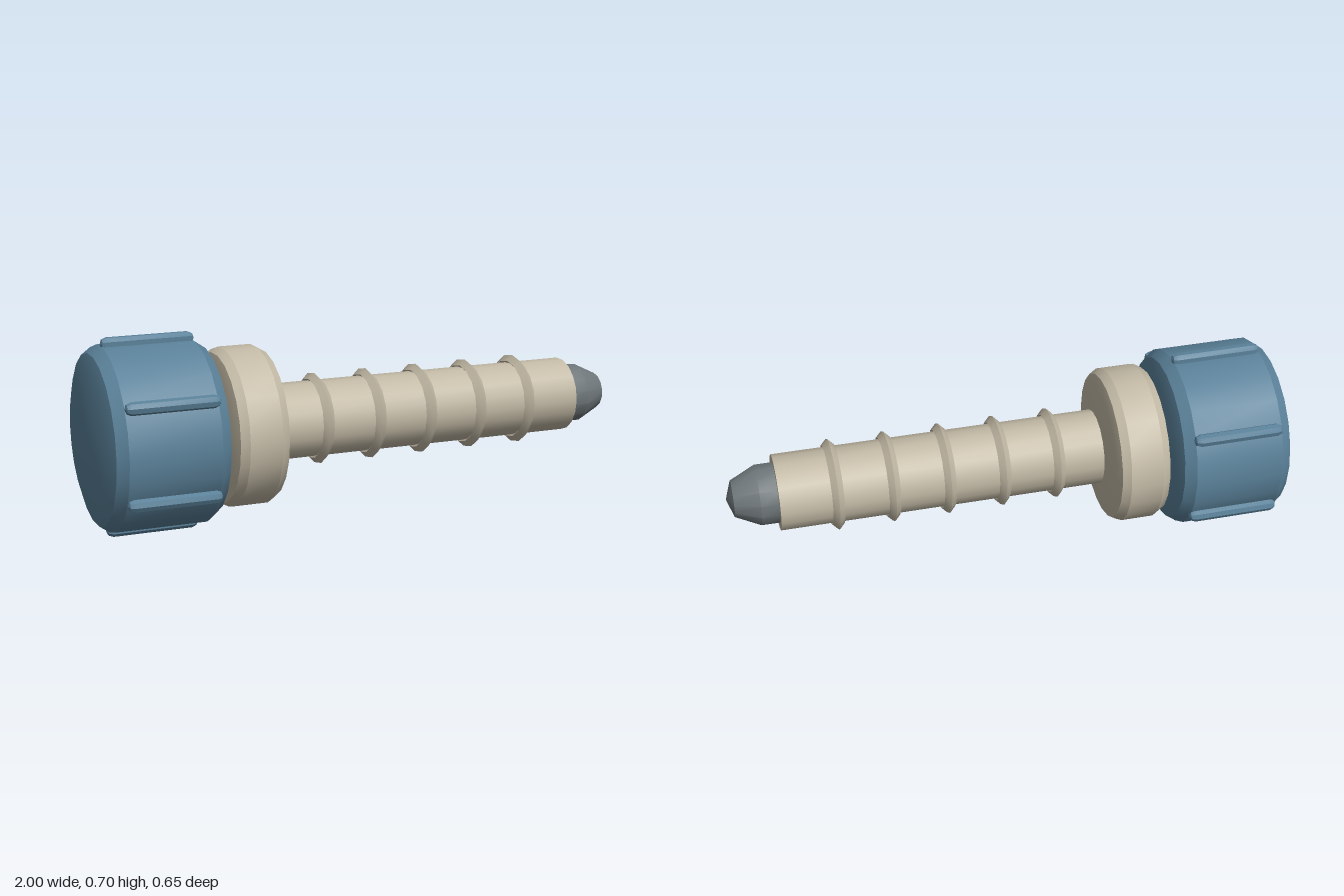
import * as THREE from 'three';
import { toCreasedNormals } from 'three/addons/utils/BufferGeometryUtils.js';

const AXIS_Y = 0.35;
const CREASE = 0.5;

export function createModel() {
  const group = new THREE.Group();
  const material = (name, color) => {
    const m = new THREE.MeshStandardMaterial({ color });
    m.name = name;
    return m;
  };
  const blue = material('blue', 0x5a8199);
  const beige = material('beige', 0xc2b9a5);
  const grey = material('grey', 0x6e7679);

  // Everything is placed relative to a horizontal axis along x
  const add = (name, geometry, mat) => {
    const mesh = new THREE.Mesh(toCreasedNormals(geometry, CREASE), mat);
    mesh.name = name;
    mesh.position.y = AXIS_Y;
    group.add(mesh);
  };

  // Turned part: profile of [x, radius] pairs, closed on the axis at both ends
  const turned = (name, profile, sides, mat, start = 0) => {
    const pts = profile.map(([x, r]) => new THREE.Vector2(r, x));
    add(name, new THREE.LatheGeometry(pts, sides, start).rotateZ(-Math.PI / 2), mat);
  };

  // Cap with softened rims
  turned('cap', [
    [-1, 0], [-1, 0.24], [-0.982, 0.297], [-0.945, 0.323],
    [-0.625, 0.323], [-0.588, 0.297], [-0.57, 0.24], [-0.57, 0],
  ], 22, blue);

  // Six grip ribs around the cap
  for (let i = 0; i < 6; i++) {
    const rib = new THREE.CapsuleGeometry(0.023, 0.284, 2, 8)
      .rotateY(Math.PI / 8)
      .rotateZ(-Math.PI / 2)
      .translate(-0.782, 0.327, 0)
      .rotateX((i * Math.PI) / 3);
    add('gripRib' + (i + 1), rib, blue);
  }

  // Collar next to the cap
  turned('collar', [
    [-0.555, 0], [-0.555, 0.22], [-0.544, 0.265], [-0.515, 0.282],
    [-0.397, 0.282], [-0.368, 0.265], [-0.357, 0.22], [-0.357, 0],
  ], 22, beige);

  // Shaft
  turned('shaft', [[-0.34, 0], [-0.34, 0.136], [0.825, 0.136], [0.825, 0]], 18, beige);

  // Five raised rings along the shaft
  for (let i = 0; i < 5; i++) {
    const ring = new THREE.TorusGeometry(0.143, 0.021, 4, 16)
      .rotateY(Math.PI / 2)
      .translate(-0.173 + i * 0.199, 0, 0);
    add('ring' + (i + 1), ring, beige);
  }

  // Tapered tip
  turned('tip', [
    [0.82, 0], [0.82, 0.109], [0.888, 0.109], [0.977, 0.066], [1, 0],
  ], 14, grey, Math.PI / 2);

  return group;
}
